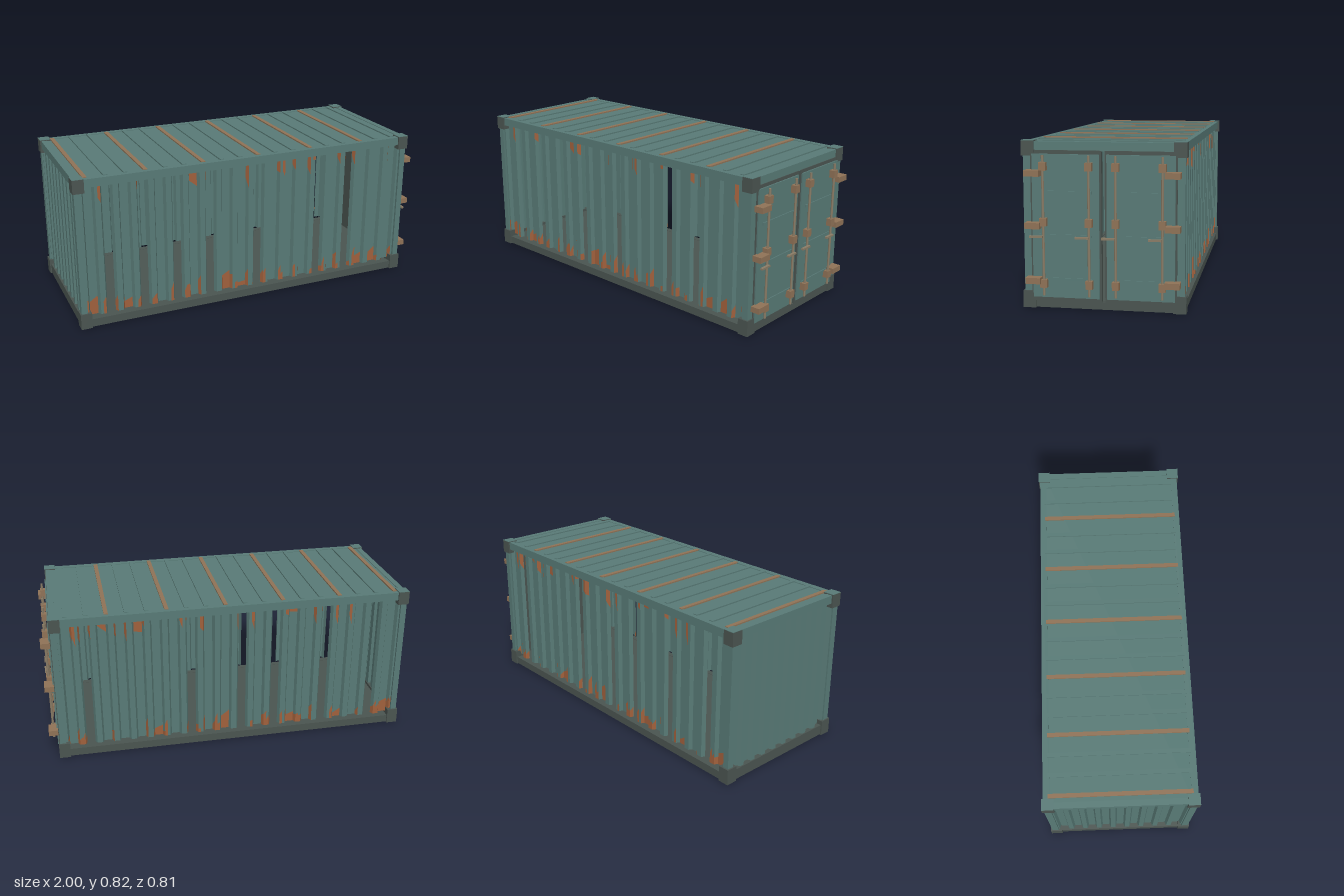
import * as THREE from 'three';

const mat = (name, color, side = THREE.FrontSide) => {
  const m = new THREE.MeshStandardMaterial({ color, side });
  m.name = name;
  return m;
};

export function createModel() {
  const root = new THREE.Group();
  root.name = 'shippingContainer';
  const teal = mat('teal paint', 0x587a76);
  const sheet = mat('teal sheet', 0x587a76, THREE.DoubleSide);
  const dark = mat('dark steel', 0x4a5450);
  const rust = mat('rust', 0xa0603c, THREE.DoubleSide);
  const brown = mat('rusted brown', 0x8f7256);
  const rodMetal = mat('bare rod metal', 0x8a7c66);

  // Box given by its min and max on each axis
  function box(name, m, x0, x1, y0, y1, z0, z1, parent = root) {
    const mesh = new THREE.Mesh(new THREE.BoxGeometry(x1 - x0, y1 - y0, z1 - z0), m);
    mesh.position.set((x0 + x1) / 2, (y0 + y1) / 2, (z0 + z1) / 2);
    mesh.name = name;
    parent.add(mesh);
    return mesh;
  }

  let seed = 7;
  const rnd = () => (seed = (seed * 16807) % 2147483647) / 2147483647;

  function quadMesh(name, m, pos) {
    const g = new THREE.BufferGeometry();
    g.setAttribute('position', new THREE.Float32BufferAttribute(pos, 3));
    g.computeVertexNormals();
    const mesh = new THREE.Mesh(g, m);
    mesh.name = name;
    return mesh;
  }

  // Corrugated wall facing +z, centred on x = 0, with some recessed strips missing
  const Y0 = 0.06, Y1 = 0.778, DEPTH = 0.02;
  function corrugatedWall(name, length, count, missing, rusty) {
    const group = new THREE.Group();
    group.name = name;
    const skin = [], patches = [];
    const quad = (out, a, b, ya, yb, yc, yd, lift = 0) => {
      // ya, yb: bottom at a and b; yc, yd: top at b and a
      const A = [a[0], ya, a[1] + lift], B = [b[0], yb, b[1] + lift];
      const C = [b[0], yc, b[1] + lift], D = [a[0], yd, a[1] + lift];
      out.push(...A, ...B, ...C, ...A, ...C, ...D);
    };
    const p = length / count;
    const prof = [[0, 0], [0.16, 0], [0.265, -DEPTH], [0.735, -DEPTH], [0.84, 0], [1, 0]];
    for (let i = 0; i < count; i++) {
      const x0 = -length / 2 + i * p;
      for (let k = 0; k < 5; k++) {
        if (k === 2 && missing.includes(i)) continue;
        const a = [x0 + prof[k][0] * p, prof[k][1]];
        const b = [x0 + prof[k + 1][0] * p, prof[k + 1][1]];
        quad(skin, a, b, Y0, Y0, Y1, Y1);
        if (!rusty) continue;
        // Ragged rust creeping up from the bottom and down from the top
        if (rnd() < 0.55) {
          const h = 0.02 + rnd() * 0.07;
          quad(patches, a, b, Y0, Y0, Y0 + h + rnd() * 0.04, Y0 + h, 0.0015);
        }
        if (rnd() < 0.2) {
          const h = 0.02 + rnd() * 0.07;
          quad(patches, a, b, Y1 - h, Y1 - h - rnd() * 0.06, Y1, Y1, 0.0015);
        }
      }
    }
    group.add(quadMesh(name + 'Skin', sheet, skin));
    if (rusty) group.add(quadMesh(name + 'Rust', rust, patches));
    root.add(group);
    return group;
  }

  const front = corrugatedWall('frontWall', 1.88, 20, [1, 3, 5, 7, 10, 14, 16], true);
  front.position.set(-0.025, 0, 0.383);
  const back = corrugatedWall('backWall', 1.88, 20, [1, 7, 10, 12, 15, 18], true);
  back.position.set(-0.025, 0, -0.383);
  back.rotation.y = Math.PI;
  const end = corrugatedWall('endWall', 0.73, 9, [], false);
  end.position.x = -0.985;
  end.rotation.y = -Math.PI / 2;

  // Floor and lower frame
  box('floor', dark, -0.985, 0.94, 0.003, 0.044, -0.38, 0.38);
  for (const s of [-1, 1]) {
    const z0 = s > 0 ? 0.36 : -0.395, z1 = z0 + 0.035;
    box('bottomSideRail', dark, -0.99, 0.94, 0.003, 0.046, z0, z1);
    box('topSideRail', teal, -0.99, 0.94, 0.775, 0.819, z0, z1);
    for (const [x0, x1] of [[-0.993, -0.96], [0.912, 0.945]])
      box('cornerPost', teal, x0, x1, 0.04, 0.78, s > 0 ? 0.358 : -0.395, s > 0 ? 0.395 : -0.358);
    // Corner castings
    const c0 = s > 0 ? 0.34 : -0.403, c1 = c0 + 0.063;
    for (const x0 of [-1, 0.892]) {
      box('bottomCasting', dark, x0, x0 + 0.06, 0, 0.085, c0, c1);
      box('topCasting', dark, x0, x0 + 0.06, 0.75, 0.823, c0, c1);
      box('castingCap', teal, x0, x0 + 0.06, 0.823, 0.825, c0, c1);
    }
  }
  box('endSill', dark, -0.992, -0.96, 0.003, 0.06, -0.36, 0.36);
  box('endHeader', teal, -0.992, -0.96, 0.775, 0.819, -0.36, 0.36);
  box('doorSill', dark, 0.912, 0.946, 0.003, 0.04, -0.36, 0.36);
  box('doorHeader', teal, 0.912, 0.946, 0.775, 0.819, -0.36, 0.36);

  // Roof with cross ribs, every third one rusted
  box('roof', teal, -0.985, 0.94, 0.8, 0.816, -0.37, 0.37);
  for (let i = 0; i < 18; i++) {
    const x = -0.927 + i * 0.1054;
    box('roofRib', i % 3 ? teal : brown, x - 0.011, x + 0.011, 0.81, 0.823, -0.37, 0.37);
  }

  // Doors with seals, ribs, lock rods, brackets, handles and hinges
  for (const s of [-1, 1]) {
    const door = new THREE.Group();
    door.name = s > 0 ? 'leftDoor' : 'rightDoor';
    root.add(door);
    const span = (name, m, x0, x1, y0, y1, a, b) =>
      box(name, m, x0, x1, y0, y1, Math.min(s * a, s * b), Math.max(s * a, s * b), door);
    span('doorSeal', dark, 0.925, 0.949, 0.04, 0.778, 0.008, 0.358);
    span('doorPanel', teal, 0.93, 0.956, 0.057, 0.76, 0.018, 0.349);
    for (const y of [0.15, 0.365, 0.577])
      span('doorRib', teal, 0.955, 0.961, y - 0.006, y + 0.006, 0.055, 0.314);
    for (const z of [0.065, 0.29]) {
      const rod = new THREE.Mesh(new THREE.CylinderGeometry(0.0065, 0.0065, 0.685, 10), rodMetal);
      rod.name = 'lockRod';
      rod.position.set(0.975, 0.414, s * z);
      door.add(rod);
      for (const y of [0.13, 0.432, 0.702])
        span('rodBracket', brown, 0.956, 0.986, y - 0.02, y + 0.02, z - 0.017, z + 0.017);
      box('handle', rodMetal, 0.982, 0.996, 0.357, 0.367, s * z, s * z + 0.065, door);
    }
    for (const y of [0.145, 0.415, 0.669])
      span('hinge', brown, 0.95, 1, y - 0.015, y + 0.015, 0.303, 0.377);
  }
  return root;
}
